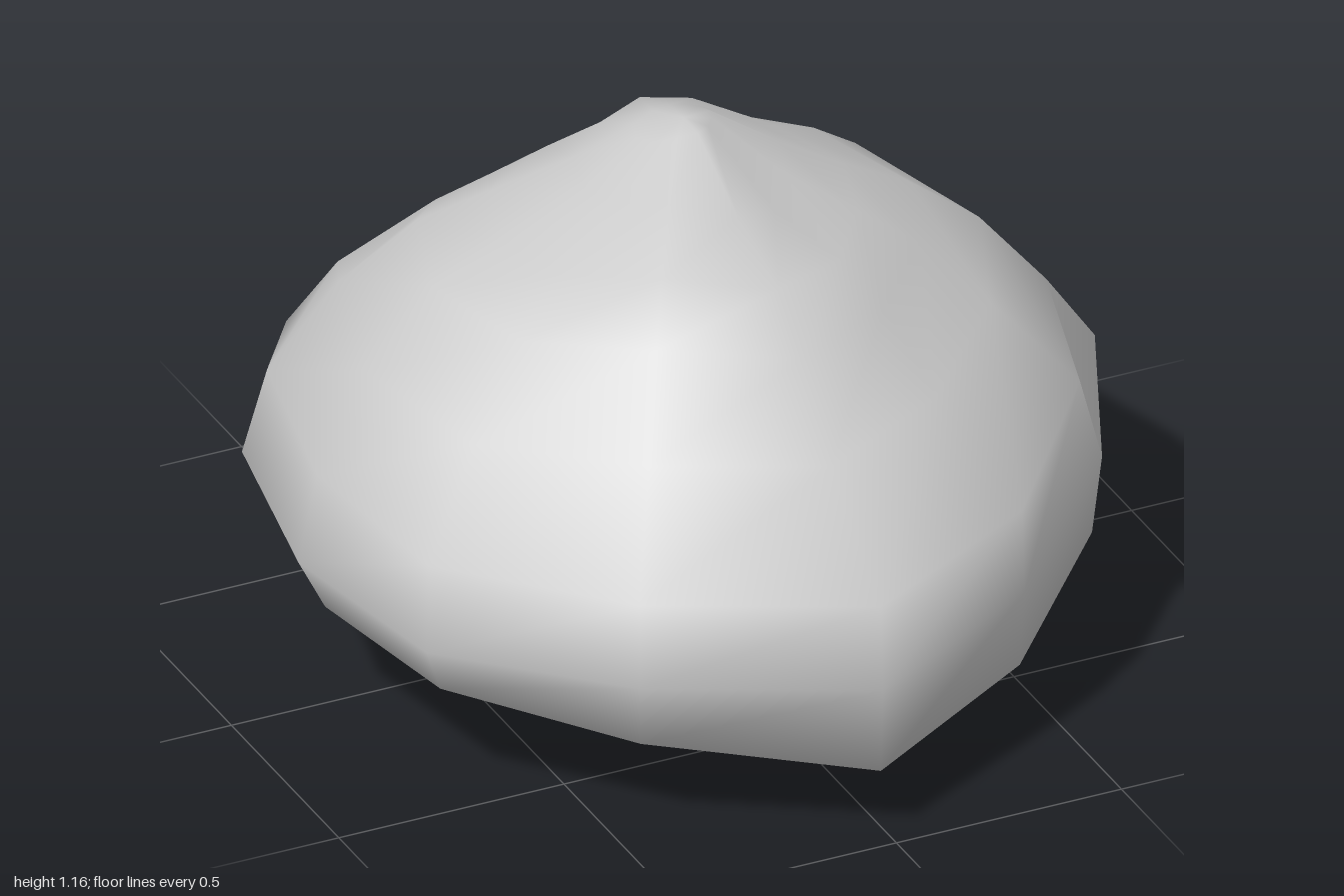
import * as THREE from 'three';

// Plan outline of the boulder, [x, z], starting at the back and running past +x
const OUTLINE = [
  [-0.04, -1], [0.47, -0.74], [0.73, -0.35], [0.88, 0.08], [0.71, 0.47], [0.38, 0.8],
  [-0.03, 1], [-0.47, 0.79], [-0.8, 0.49], [-0.88, 0.06], [-0.8, -0.37], [-0.52, -0.75],
];

// Rings from bottom to top: outline scale, then height, each toward +x, +z, -x, -z
// and last the amount added on the diagonals
const RINGS = [
  [[0.35, 0.32, 0.38, 0.35, 0], [0.04, 0.04, 0.04, 0.05, 0]],
  [[0.72, 0.62, 0.6, 0.78, 0], [0.09, 0.05, 0.06, 0.11, 0.01]],
  [[0.97, 0.99, 0.93, 0.9, 0], [0.26, 0.17, 0.26, 0.29, 0.04]],
  [[1, 1, 1, 1, 0], [0.48, 0.36, 0.38, 0.45, 0]],
  [[0.88, 0.99, 0.95, 0.78, 0.04], [0.63, 0.55, 0.57, 0.6, 0.01]],
  [[0.72, 0.74, 0.83, 0.51, 0.01], [0.8, 0.74, 0.78, 0.82, 0]],
  [[0.55, 0.6, 0.65, 0.39, 0], [0.91, 0.91, 0.93, 0.9, 0]],
  [[0.39, 0.48, 0.47, 0.28, 0], [0.98, 1.0, 0.99, 1.01, 0]],
  [[0.23, 0.28, 0.26, 0.18, 0], [1.07, 1.09, 1.06, 1.11, 0]],
  [[0.07, 0.08, 0.12, 0.05, 0], [1.16, 1.16, 1.14, 1.16, 0]],
];

// Blend the directional values smoothly around the circle
function blend([px, pz, nx, nz, diagonal], x, z) {
  const cos2 = x * x / (x * x + z * z), sin2 = 1 - cos2;
  return (x > 0 ? px : nx) * cos2 + (z > 0 ? pz : nz) * sin2 + diagonal * 4 * cos2 * sin2;
}

// Soft round falloff about a plan position
const bump = (x, z, cx, cz, s) => Math.exp(-((x - cx) ** 2 + (z - cz) ** 2) / (2 * s * s));

function boulderGeometry() {
  const n = OUTLINE.length;
  const pos = [];
  const index = [];
  RINGS.forEach(([scales, heights], r) => {
    for (const [ox, oz] of OUTLINE) {
      const s = blend(scales, ox, oz);
      const x = ox * s, z = oz * s;
      let y = blend(heights, ox, oz);
      if (r < 2) y -= 0.04 * bump(x, z, 0.25, 0.2, 0.15);      // resting point
      if (r > 3) {
        y += 0.08 * bump(x, z, 0.4, -0.42, 0.2);               // shoulder at the back
        y += 0.04 * bump(x, z, -0.2, 0.36, 0.17);              // shoulder at the front
        if (r < 9) y -= 0.06 * bump(x, z, 0.1, 0.22, 0.11);    // dent below the peak
      }
      pos.push(x, Math.max(0, y), z);
    }
  });
  const bottom = RINGS.length * n, top = bottom + 1;
  pos.push(0, 0.045, 0, 0, 1.165, 0.01);

  for (let i = 0; i < n; i++) {
    const j = (i + 1) % n;
    for (let r = 0; r < RINGS.length - 1; r++) {
      const a = r * n + i, b = r * n + j;
      index.push(a, a + n, b, b, a + n, b + n);
    }
    const last = (RINGS.length - 1) * n;
    index.push(bottom, i, j, last + i, top, last + j);
  }
  const geo = new THREE.BufferGeometry();
  geo.setAttribute('position', new THREE.Float32BufferAttribute(pos, 3));
  geo.setIndex(index);
  geo.computeVertexNormals();
  return geo;
}

export function createModel() {
  const group = new THREE.Group();
  group.name = 'rock';
  const boulder = new THREE.Mesh(
    boulderGeometry(),
    new THREE.MeshStandardMaterial({ color: 0xcccccc }),
  );
  boulder.name = 'boulder';
  group.add(boulder);
  return group;
}
